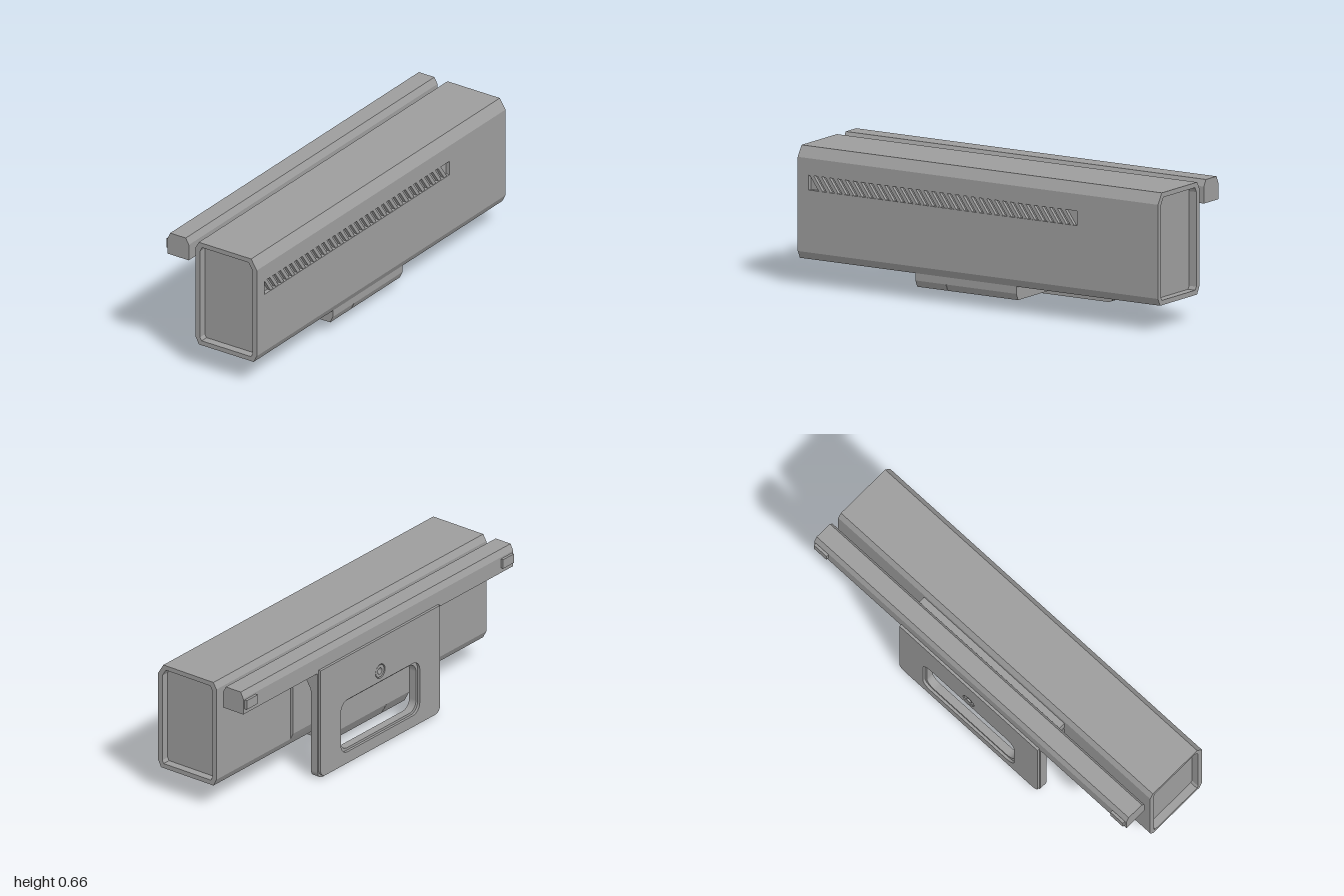
import * as THREE from 'three';

const material = new THREE.MeshStandardMaterial({ color: 0x9d9d9d, flatShading: true });

// Counter-clockwise shape from [z, y] points, prepared for extrusion along x
const sideShape = (pts) => new THREE.Shape(pts.map(([z, y]) => new THREE.Vector2(-z, y)).reverse());

// Rounded rectangle: rb is the bottom corner radius, rt the top one
function roundedRect(path, x0, y0, x1, y1, rb, rt) {
  path.moveTo(x0 + rb, y0);
  path.lineTo(x1 - rb, y0);
  path.absarc(x1 - rb, y0 + rb, rb, -Math.PI / 2, 0, false);
  path.lineTo(x1, y1 - rt);
  if (rt) path.absarc(x1 - rt, y1 - rt, rt, 0, Math.PI / 2, false);
  path.lineTo(x0 + rt, y1);
  if (rt) path.absarc(x0 + rt, y1 - rt, rt, Math.PI / 2, Math.PI, false);
  path.lineTo(x0, y0 + rb);
  path.absarc(x0 + rb, y0 + rb, rb, Math.PI, Math.PI * 1.5, false);
  return path;
}

export function createModel() {
  const model = new THREE.Group();

  const add = (name, geometry, parent = model) => {
    const mesh = new THREE.Mesh(geometry, material);
    mesh.name = name;
    parent.add(mesh);
    return mesh;
  };
  const group = (name) => {
    const g = new THREE.Group();
    g.name = name;
    model.add(g);
    return g;
  };
  const alongX = (name, shape, x0, x1, parent) => {
    const g = new THREE.ExtrudeGeometry(shape, { depth: x1 - x0, bevelEnabled: false });
    return add(name, g.rotateY(Math.PI / 2).translate(x0, 0, 0), parent);
  };
  const alongZ = (name, shape, z0, z1, parent) => {
    const g = new THREE.ExtrudeGeometry(shape, { depth: z1 - z0, bevelEnabled: false, curveSegments: 10 });
    return add(name, g.translate(0, 0, z0), parent);
  };
  const box = (name, x0, x1, y0, y1, z0, z1, parent) =>
    add(name, new THREE.BoxGeometry(x1 - x0, y1 - y0, z1 - z0)
      .translate((x0 + x1) / 2, (y0 + y1) / 2, (z0 + z1) / 2), parent);

  // Main housing: solid core with a grille channel, and open rims at both ends
  const housing = group('housing');
  const back = [[0.228, 0.656], [-0.068, 0.656], [-0.086, 0.625], [-0.086, 0.16], [-0.068, 0.125],
    [0.242, 0.125], [0.26, 0.16]];
  const outline = [...back, [0.26, 0.605]];
  const notched = [...back, [0.26, 0.455], [0.24, 0.455], [0.24, 0.525], [0.26, 0.525], [0.26, 0.605]];
  const rim = sideShape(outline);
  rim.holes.push(sideShape([[0.235, 0.599], [0.214, 0.633], [-0.05, 0.633], [-0.062, 0.61],
    [-0.062, 0.163], [-0.052, 0.148], [0.227, 0.148], [0.235, 0.163]]));
  const grilleLeft = -0.94, grilleRight = 0.55;
  alongX('rightEndRim', rim, -1, -0.96, housing);
  alongX('housingCoreRight', sideShape(outline), -0.96, grilleLeft, housing);
  alongX('housingCoreGrille', sideShape(notched), grilleLeft, grilleRight, housing);
  alongX('housingCoreLeft', sideShape(outline), grilleRight, 0.96, housing);
  alongX('leftEndRim', rim, 0.96, 1, housing);

  // Slanted grille slats
  const grille = group('grille');
  const slats = 33, pitch = (grilleRight - grilleLeft - 0.05) / slats;
  for (let i = 0; i < slats; i++) {
    const x = grilleLeft + 0.004 + i * pitch;
    const slat = new THREE.Shape([[x, 0.525], [x + 0.05, 0.455], [x + 0.072, 0.455], [x + 0.022, 0.525]]
      .map(([a, b]) => new THREE.Vector2(a, b)));
    alongZ('grilleSlat', slat, 0.238, 0.257, grille);
  }

  // Rear rail with small end tabs
  alongX('rearRail', sideShape([[-0.125, 0.545], [-0.125, 0.625], [-0.142, 0.656], [-0.23, 0.656],
    [-0.245, 0.625], [-0.245, 0.545]]), -1, 1);
  for (const s of [-1, 1]) {
    const x = s * 0.95;
    box('railTab', x - 0.04, x + 0.04, 0.57, 0.616, -0.258, -0.24);
  }
  box('railBridge', -0.45, 0.45, 0.546, 0.6, -0.13, -0.08);

  // Thin mounting pad on the back of the housing
  alongX('backPad', sideShape([[-0.08, 0.525], [-0.1, 0.525], [-0.1, 0.19], [-0.086, 0.16], [-0.08, 0.16]].reverse()),
    -0.45, 0.45);

  // Lower block wrapping under and behind the housing, in two parts with a fine seam;
  // the longer part is hollow below
  const lower = group('lowerBlock');
  const wrap = [[-0.113, 0.058], [-0.143, 0.113], [-0.143, 0.38], [-0.1, 0.46], [-0.06, 0.46],
    [-0.06, 0.13], [0.24, 0.13], [0.24, 0.09], [0.225, 0.058]];
  const solid = sideShape(wrap);
  const hollow = sideShape([...wrap, [0.185, 0.058], [0.185, 0.12], [-0.075, 0.12], [-0.075, 0.058]]);
  alongX('lowerBlockSolid', solid, -0.36, -0.191, lower);
  alongX('lowerBlockInnerWall', solid, -0.189, -0.15, lower);
  alongX('lowerBlockTray', hollow, -0.15, 0.165, lower);
  alongX('lowerBlockEnd', solid, 0.165, 0.2, lower);

  // Hanging clip plate: two layers with a rounded window and a screw hole
  const clip = group('clip');
  const plate = (halfWidth, y0, y1, grow, screw) => {
    const s = roundedRect(new THREE.Shape(), -halfWidth, y0, halfWidth, y1, 0.035, 0);
    s.holes.push(roundedRect(new THREE.Path(), -0.28 - grow, 0.08 - grow, 0.28 + grow, 0.325 + grow, 0.05, 0.05));
    s.holes.push(new THREE.Path().absarc(0, 0.39, screw, 0, Math.PI * 2, true));
    return s;
  };
  alongZ('clipInnerPlate', plate(0.448, 0, 0.55, 0, 0.016), -0.245, -0.205, clip);
  alongZ('clipOuterPlate', plate(0.443, 0.01, 0.56, 0.012, 0.036), -0.258, -0.245, clip);
  alongX('clipGusset', sideShape([[-0.142, 0.546], [-0.2, 0.458], [-0.206, 0.438], [-0.24, 0.438],
    [-0.24, 0.546]]), -0.448, 0.448, clip);

  // Recessed screw
  const ring = new THREE.Shape().absarc(0, 0.39, 0.031, 0, Math.PI * 2, false);
  ring.holes.push(new THREE.Path().absarc(0, 0.39, 0.016, 0, Math.PI * 2, true));
  alongZ('screwRing', ring, -0.255, -0.244, clip);
  const core = add('screwCore', new THREE.CylinderGeometry(0.018, 0.018, 0.02, 24).rotateX(Math.PI / 2), clip);
  core.position.set(0, 0.39, -0.22);

  return model;
}
